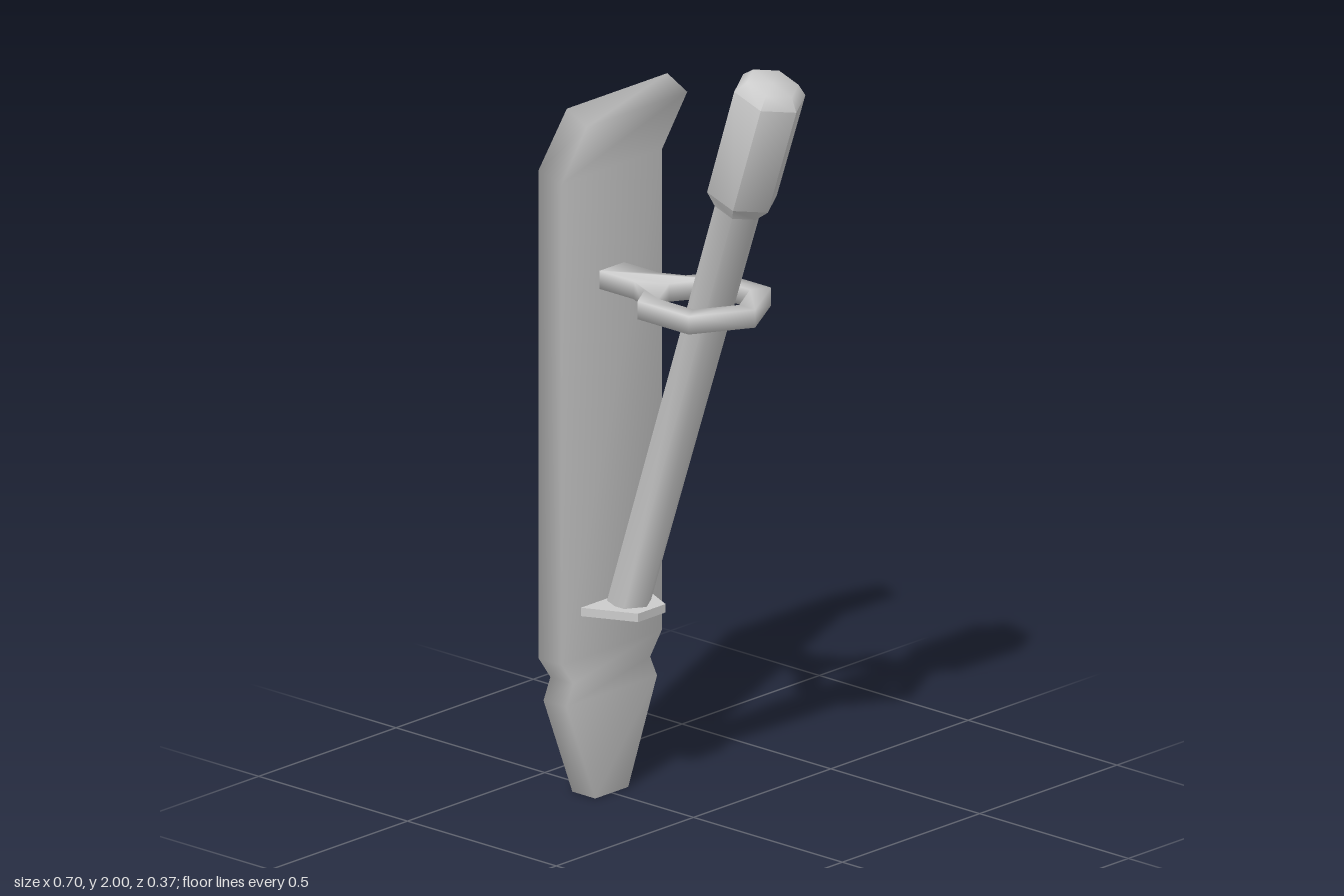
import * as THREE from 'three';
import { mergeVertices, toCreasedNormals } from 'three/addons/utils/BufferGeometryUtils.js';

const material = new THREE.MeshStandardMaterial({ color: 0xcccccc });

function part(name, geometry) {
  const mesh = new THREE.Mesh(geometry, material);
  mesh.name = name;
  return mesh;
}

// Shared corners give soft shading across the edges
function soften(geometry) {
  geometry.deleteAttribute('normal');
  geometry.deleteAttribute('uv');
  const merged = mergeVertices(geometry);
  merged.computeVertexNormals();
  return merged;
}

// Horizontal slab from half an outline of [x, z] points, mirrored in z
function slab(half, y, height, hole) {
  const mirrored = half.filter(p => p[1] > 0).reverse().map(([x, z]) => [x, -z]);
  const shape = new THREE.Shape([...half, ...mirrored].map(p => new THREE.Vector2(...p)));
  if (hole) shape.holes.push(new THREE.Path(hole));
  return new THREE.ExtrudeGeometry(shape, { depth: height, bevelEnabled: false })
    .rotateX(-Math.PI / 2).translate(0, y, 0);
}

// Wall plate: rectangular sections from the pointed foot to the bent top
function plateGeometry() {
  // [half width, front x, front y, back x, back y]
  const levels = [
    [0.06, -0.275, 0, -0.352, 0],
    [0.165, -0.275, 0.265, -0.352, 0.265],
    [0.14, -0.275, 0.32, -0.352, 0.32],
    [0.183, -0.275, 0.38, -0.352, 0.38],
    [0.183, -0.275, 1.635, -0.352, 1.655],
    [0.183, -0.19, 1.805, -0.257, 1.838],
  ];
  const positions = [], index = [];
  levels.forEach(([w, fx, fy, bx, by], i) => {
    positions.push(fx, fy, w, fx, fy, -w, bx, by, -w, bx, by, w);
    if (i === 0) return;
    for (let j = 0; j < 4; j++) {
      const a = (i - 1) * 4 + j, b = (i - 1) * 4 + (j + 1) % 4;
      index.push(a, b, b + 4, a, b + 4, a + 4);
    }
  });
  const t = (levels.length - 1) * 4;
  index.push(0, 2, 1, 0, 3, 2, t, t + 1, t + 2, t, t + 2, t + 3);
  const geometry = new THREE.BufferGeometry();
  geometry.setAttribute('position', new THREE.Float32BufferAttribute(positions, 3));
  geometry.setIndex(index);
  geometry.computeVertexNormals();
  return geometry;
}

export function createModel() {
  const group = new THREE.Group();
  group.name = 'wallTorch';

  group.add(part('wallPlate', plateGeometry()));

  // Hexagonal holder ring with its flared arm
  const hole = [];
  for (let i = 0; i < 6; i++) {
    const a = -i * Math.PI / 3;
    hole.push(new THREE.Vector2(0.036 + 0.118 * Math.cos(a), 0.118 * Math.sin(a)));
  }
  const ringOutline = [[0.207, 0], [0.122, 0.15], [-0.05, 0.15], [-0.095, 0.075], [-0.16, 0.045], [-0.278, 0.045]];
  group.add(part('holderRing', soften(slab(ringOutline, 1.328, 0.047, hole))));

  // Small tapered ledge under the torch
  group.add(part('footLedge', slab([[-0.14, 0.05], [-0.278, 0.114]], 0.49, 0.022)));

  // Six-sided leaning torch with a thicker head
  const profile = [[0, 0], [0.057, 0], [0.062, 1.18], [0.092, 1.22], [0.094, 1.52], [0.068, 1.55], [0, 1.55]];
  const torch = part('torch', toCreasedNormals(
    new THREE.LatheGeometry(profile.map(p => new THREE.Vector2(...p)), 6, Math.PI / 2), 1.1));
  torch.position.set(-0.22, 0.512, -0.002);
  torch.rotation.set(0.005, 0, -0.322);
  group.add(torch);

  return group;
}
